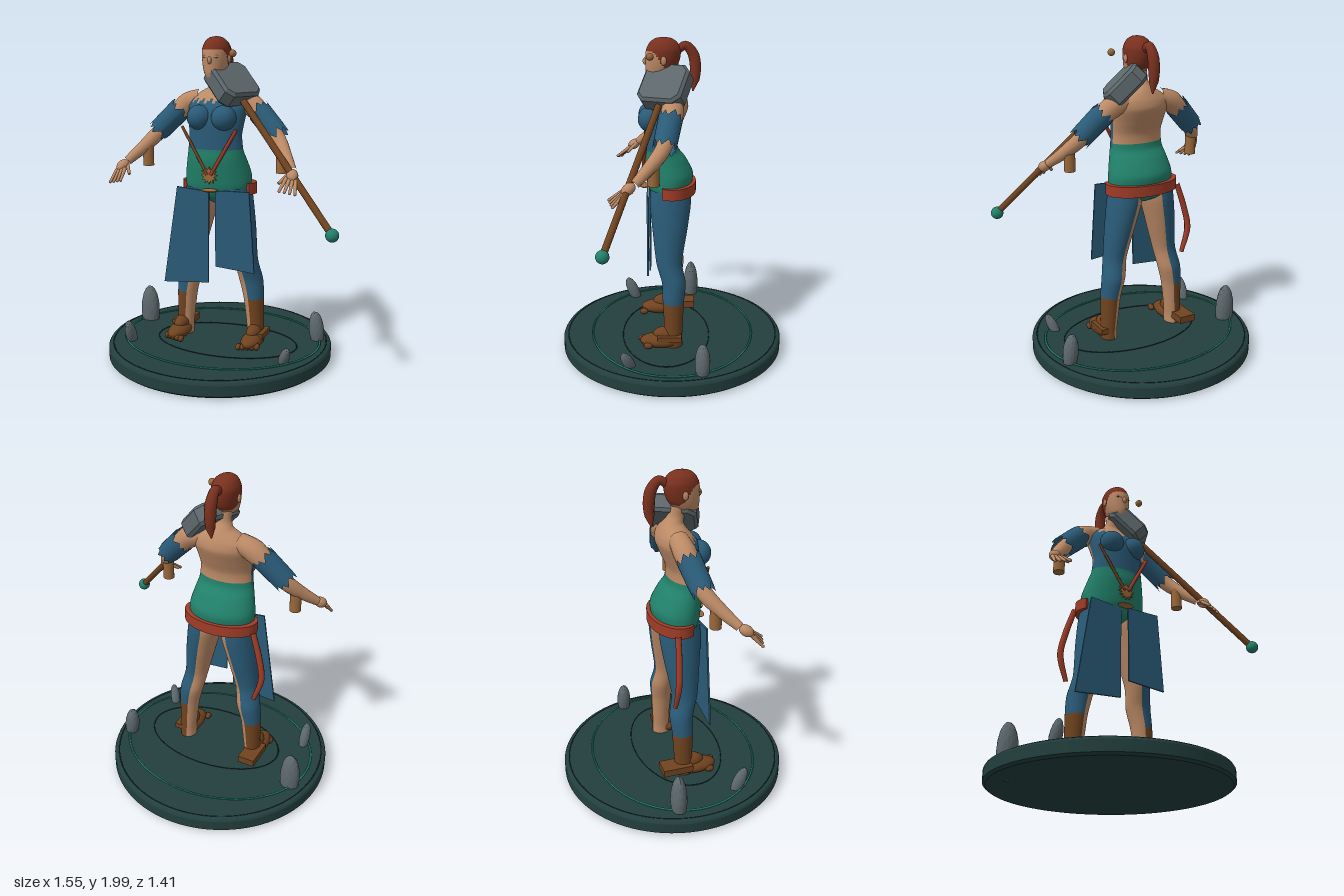
import * as THREE from 'three';

const mat = (name, color, extra = {}) => Object.assign(new THREE.MeshStandardMaterial({ color, ...extra }), { name });
const M = {
  skin: mat('skin', 0xbc8a66), blue: mat('blue cloth', 0x2a5b78, { side: THREE.DoubleSide }),
  green: mat('green cloth', 0x21806a), hair: mat('red hair', 0x7a301e), leather: mat('brown leather', 0x70431f),
  belt: mat('red belt', 0xa03c27), gold: mat('bronze', 0x99683a), stone: mat('grey stone', 0x5d686c),
  base: mat('dark green base', 0x223f3d), dark: mat('dark groove', 0x132827),
};
const V = (x, y, z) => new THREE.Vector3(x, y, z);

function add(parent, name, geo, material, x = 0, y = 0, z = 0) {
  const m = new THREE.Mesh(geo, material);
  m.name = name;
  m.position.set(x, y, z);
  parent.add(m);
  return m;
}
const ball = (parent, name, material, x, y, z, rx, ry = rx, rz = rx) => {
  const m = add(parent, name, new THREE.SphereGeometry(1, 20, 14), material, x, y, z);
  m.scale.set(rx, ry, rz);
  return m;
};

// Rod between two points
function rod(parent, name, material, a, b, r, r2 = r) {
  const m = add(parent, name, new THREE.CylinderGeometry(r2, r, a.distanceTo(b), 12), material);
  m.position.copy(a).lerp(b, 0.5);
  m.quaternion.setFromUnitVectors(V(0, 1, 0), b.clone().sub(a).normalize());
  return m;
}

// Tube whose radius follows a list of values
function limb(parent, name, material, pts, radii, seg = 30, sides = 14) {
  const curve = new THREE.CatmullRomCurve3(pts);
  const geo = new THREE.TubeGeometry(curve, seg, 1, sides);
  const p = geo.attributes.position, v = V(0, 0, 0);
  for (let i = 0; i <= seg; i++) {
    const t = i / seg, c = curve.getPointAt(t), f = t * (radii.length - 1);
    const k = Math.min(Math.floor(f), radii.length - 2), r = THREE.MathUtils.lerp(radii[k], radii[k + 1], f - k);
    for (let j = 0; j <= sides; j++) {
      const n = i * (sides + 1) + j;
      v.fromBufferAttribute(p, n).sub(c).multiplyScalar(r).add(c);
      p.setXYZ(n, v.x, v.y, v.z);
    }
  }
  return add(parent, name, geo, material);
}

// Stack of ellipses [x, y, z, rx, rz] from bottom to top; pick() chooses a material for each face
function loft(parent, name, rings, materials, pick, rows = 60, cols = 48) {
  const mid = new THREE.CatmullRomCurve3(rings.map(r => V(r[0], r[1], r[2])), false, 'catmullrom', 0.4);
  const rad = new THREE.CatmullRomCurve3(rings.map(r => V(r[3], r[4], 0)), false, 'catmullrom', 0.4);
  const pos = [], faces = materials.map(() => []);
  for (let i = 0; i <= rows; i++) {
    const c = mid.getPoint(i / rows), r = rad.getPoint(i / rows);
    for (let j = 0; j < cols; j++) {
      const a = j / cols * Math.PI * 2;
      pos.push(c.x + r.x * Math.sin(a), c.y, c.z + r.y * Math.cos(a));
    }
    if (i === rows) break;
    const m = mid.getPoint((i + 0.5) / rows);
    for (let j = 0; j < cols; j++) {
      const a = (j + 0.5) / cols * Math.PI * 2, A = i * cols + j, B = i * cols + (j + 1) % cols;
      faces[pick(a, m.y, m.z + r.y * Math.cos(a), j)].push(A, B, B + cols, A, B + cols, A + cols);
    }
  }
  const geo = new THREE.BufferGeometry();
  geo.setAttribute('position', new THREE.Float32BufferAttribute(pos, 3));
  geo.setIndex(faces.flat());
  let start = 0;
  faces.forEach((f, k) => { geo.addGroup(start, f.length, k); start += f.length; });
  geo.computeVertexNormals();
  return add(parent, name, geo, materials);
}

const plate = (pts, depth) => new THREE.ExtrudeGeometry(
  new THREE.Shape(pts.map(p => new THREE.Vector2(...p))), { depth, bevelEnabled: false });

function buildBase(root) {
  const profile = [[0, 0.012], [0.69, 0.012], [0.707, 0.025], [0.707, 0.09], [0.7, 0.102], [0.685, 0.11], [0, 0.11]];
  const flat = profile.slice(1).flatMap((p, i) => [profile[i], p]).map(p => new THREE.Vector2(...p));
  add(root, 'base', new THREE.LatheGeometry(flat, 96), M.base, -0.07);
  const ring = (name, m, x, z, rx, rz, t, y) => {
    const r = add(root, name, new THREE.TorusGeometry(1, t, 6, 96).rotateX(Math.PI / 2), m, x, y, z);
    r.scale.set(rx, 0.5, rz);
  };
  ring('greenRing', M.green, -0.06, 0, 0.632, 0.517, 0.011, 0.117);
  ring('innerGroove', M.dark, -0.01, 0.04, 0.455, 0.278, 0.01, 0.109);
  ring('outerGroove', M.dark, -0.07, 0, 0.677, 0.677, 0.005, 0.11);
  // Standing stones: position, radii, lean about x and z
  [[-0.64, 0.175, -0.145, 0.064, 0.17, 0.05, 0, 0], [0.52, 0.175, -0.17, 0.048, 0.12, 0.046, 0, 0.1],
    [-0.57, 0.16, 0.27, 0.034, 0.1, 0.04, 0.4, 0], [0.44, 0.14, 0.27, 0.032, 0.085, 0.035, 0.4, -0.35]]
    .forEach(([x, y, z, rx, ry, rz, a, b]) => {
      const g = new THREE.IcosahedronGeometry(1, 2).scale(rx, ry, rz);
      g.computeVertexNormals();
      add(root, 'stone', g, M.stone, x, y, z).rotation.set(a, 0, b);
    });
}

function buildHead(fig) {
  loft(fig, 'head', [[0, 1.735, 0.1, 0.001, 0.001], [0, 1.75, 0.1, 0.033, 0.042], [0, 1.785, 0.08, 0.058, 0.075],
    [0, 1.83, 0.063, 0.073, 0.095], [0, 1.88, 0.055, 0.08, 0.104], [0, 1.93, 0.05, 0.08, 0.102],
    [0, 1.97, 0.05, 0.063, 0.08], [0, 1.992, 0.05, 0.035, 0.047], [0, 2, 0.05, 0.001, 0.001]], [M.skin, M.hair],
  (a, y, z) => y > 1.81 + 0.11 * THREE.MathUtils.smoothstep(z, 0.02, 0.12) ? 1 : 0);
  ball(fig, 'nose', M.skin, 0, 1.86, 0.158, 0.013, 0.022, 0.016);
  for (const s of [-1, 1]) {
    ball(fig, 'ear', M.skin, s * 0.081, 1.87, 0.05, 0.01, 0.026, 0.017);
    ball(fig, 'eyelid', M.skin, s * 0.032, 1.882, 0.142, 0.016, 0.01, 0.01);
    add(fig, 'eyelash', new THREE.BoxGeometry(0.026, 0.004, 0.006), M.hair, s * 0.032, 1.877, 0.15).rotation.y = s * 0.3;
  }
  limb(fig, 'ponytail', M.hair, [V(0, 1.92, -0.03), V(0, 1.95, -0.08), V(0, 1.9, -0.125), V(0, 1.8, -0.14), V(0, 1.68, -0.125)],
    [0.022, 0.028, 0.034, 0.034, 0.028, 0.004]);
}

function buildBody(fig) {
  loft(fig, 'torso', [[0, 1, 0.01, 0.06, 0.05], [0, 1.04, 0.005, 0.17, 0.115], [0, 1.1, 0.015, 0.207, 0.135],
    [0, 1.18, 0.017, 0.208, 0.146], [0, 1.27, 0.045, 0.188, 0.128], [0, 1.33, 0.066, 0.174, 0.104],
    [0, 1.42, 0.068, 0.166, 0.102], [0, 1.5, 0.052, 0.175, 0.117], [0, 1.58, 0.025, 0.184, 0.122],
    [0, 1.63, 0.008, 0.17, 0.1], [0, 1.67, 0, 0.12, 0.075], [0, 1.7, 0.002, 0.068, 0.06],
    [0, 1.74, 0.02, 0.048, 0.048], [0, 1.8, 0.03, 0.046, 0.046]], [M.green, M.blue, M.skin], (a, y, z, j) => {
    if (y < 1.335 + (Math.cos(a) < -0.1 ? 0.035 : 0)) return 0;
    return y < 1.605 + 0.015 * (j % 3) && Math.cos(a) > -0.15 ? 1 : 2;
  }, 84, 60);
  for (const s of [-1, 1]) {
    ball(fig, 'bust', M.blue, s * 0.078, 1.525, 0.135, 0.076, 0.075, 0.07);

    // Leg: cloth and boot outside, bare inside
    loft(fig, 'leg', [[s * 0.24, 0.115, 0, 0.052, 0.062], [s * 0.24, 0.17, 0, 0.052, 0.06],
      [s * 0.235, 0.25, -0.005, 0.055, 0.058], [s * 0.225, 0.4, -0.005, 0.064, 0.066],
      [s * 0.205, 0.52, -0.008, 0.075, 0.073], [s * 0.18, 0.65, 0.02, 0.074, 0.08], [s * 0.145, 0.85, 0.015, 0.092, 0.107],
      [s * 0.116, 1, 0.012, 0.103, 0.125], [s * 0.105, 1.1, 0.01, 0.1, 0.122]], [M.leather, M.blue, M.skin],
    (a, y) => Math.sin(a) * s < -0.25 ? 2 : y < 0.4 ? 0 : 1, 64);
    ball(fig, 'boot', M.leather, s * 0.247, 0.152, 0.075, 0.066, 0.046, 0.13);
    ball(fig, 'instep', M.leather, s * 0.245, 0.19, 0.05, 0.045, 0.05, 0.075);
    for (let k = 0; k < 5; k++)
      ball(fig, 'toe', M.leather, s * (0.192 + k * 0.027), 0.137, 0.188 - k * 0.009, 0.017, 0.02, 0.028);

    // Arm and hand
    limb(fig, 'arm', M.skin, [V(s * 0.11, 1.63, 0), V(s * 0.2, 1.6, 0), V(s * 0.3, 1.51, 0.02), V(s * 0.39, 1.41, 0.06),
      V(s * 0.46, 1.325, 0.135), V(s * 0.525, 1.25, 0.215)], [0.06, 0.068, 0.056, 0.048, 0.044, 0.036, 0.027]);
    ball(fig, 'palm', M.skin, s * 0.537, 1.227, 0.25, 0.034, 0.032, 0.046).rotation.set(0.6, s * 0.3, 0);
    for (let k = 0; k < 4; k++) {
      const knuckle = V(s * (0.51 + k * 0.018), 1.215 - k * 0.004, 0.275), tip = V(s * (0.495 + k * 0.028), 1.155 - k * 0.006, 0.36 - k * 0.008);
      rod(fig, 'finger', M.skin, knuckle, tip, 0.012, 0.008);
      ball(fig, 'fingertip', M.skin, tip.x, tip.y, tip.z, 0.009);
    }
    rod(fig, 'thumb', M.skin, V(s * 0.515, 1.235, 0.235), V(s * 0.47, 1.185, 0.295), 0.013, 0.009);

    // Torn sleeve
    const from = V(s * 0.245, 1.572, 0.01), to = V(s * 0.395, 1.42, 0.05);
    const sleeve = rod(fig, 'tornSleeve', M.blue, from, to, 0.072);
    sleeve.geometry = new THREE.CylinderGeometry(0.068, 0.072, 0.2, 24, 4, true);
    const p = sleeve.geometry.attributes.position;
    for (let i = 0; i < p.count; i++) {
      const j = i % 25 % 24, y = p.getY(i);
      if (Math.abs(y) > 0.09) p.setY(i, y + 0.022 * (((j * 7) % 5) / 2 - 1));
    }
    sleeve.geometry.computeVertexNormals();
    add(fig, 'wristCuff', new THREE.CylinderGeometry(0.034, 0.034, 0.13, 20), M.gold, s * 0.432, 1.28, 0.11);
  }
}

function buildOutfit(fig) {
  add(fig, 'rightSkirtPanel', plate([[-0.32, 0.485], [-0.02, 0.51], [-0.015, 1.08], [-0.225, 1.1]], 0.01), M.blue, 0, 0, 0.135);
  add(fig, 'leftSkirtPanel', plate([[0.03, 0.62], [0.28, 0.6], [0.245, 1.095], [0.03, 1.09]], 0.01), M.blue, 0, 0, 0.145);
  // Belt wraps the back and sides
  const band = new THREE.Shape();
  band.absellipse(0, 0, 0.238, 0.148, -0.45, Math.PI + 0.45, false, 0);
  band.absellipse(0, 0, 0.2, 0.122, Math.PI + 0.45, -0.45, true, 0);
  const beltGeo = new THREE.ExtrudeGeometry(band, { depth: 0.068, bevelEnabled: false, curveSegments: 40 }).rotateX(-Math.PI / 2);
  add(fig, 'belt', beltGeo, M.belt, 0, 1.062, 0);
  limb(fig, 'beltTail', M.belt, [V(-0.235, 1.08, -0.04), V(-0.285, 0.92, -0.05), V(-0.31, 0.78, -0.06), V(-0.265, 0.62, -0.065)],
    [0.018, 0.02, 0.02, 0.014], 24, 8);
  rod(fig, 'leatherCord', M.leather, V(-0.18, 1.47, 0.155), V(-0.012, 1.19, 0.178), 0.009);
  rod(fig, 'redCord', M.belt, V(0.165, 1.46, 0.155), V(0.012, 1.19, 0.178), 0.011);
  const rays = Array.from({ length: 24 }, (_, i) => {
    const r = i % 2 ? 0.034 : 0.053, a = i / 24 * Math.PI * 2;
    return [r * Math.sin(a), r * Math.cos(a)];
  });
  add(fig, 'sunBrooch', plate(rays.reverse(), 0.012), M.gold, 0, 1.185, 0.168);
  ball(fig, 'beltClasp', M.gold, 0, 1.093, 0.17, 0.053, 0.011, 0.03);
  add(fig, 'rightFootBuckle', new THREE.BoxGeometry(0.11, 0.045, 0.19), M.leather, -0.265, 0.175, -0.06);
  add(fig, 'leftFootBuckle', new THREE.BoxGeometry(0.09, 0.035, 0.15), M.leather, 0.27, 0.18, 0.02);
}

function buildHammer(root) {
  const d = V(0.64, -0.71, 0.31).normalize(), tip = V(0.735, 0.935, 0.382), head = V(0.025, 1.72, 0.04);
  rod(root, 'hammerShaft', M.leather, head, tip, 0.02);
  ball(root, 'hammerPommel', M.green, tip.x, tip.y, tip.z, 0.038);
  // Chamfered block square to the shaft
  const l = V(-0.45, 0, 0.89).normalize(), w = d.clone().cross(l).normalize(), side = w.clone().cross(d);
  const [a, b, c] = [0.12, 0.125, 0.035];
  const outline = [[-a + c, -b], [a - c, -b], [a, -b + c], [a, b - c], [a - c, b], [-a + c, b], [-a, b - c], [-a, -b + c]];
  const geo = new THREE.ExtrudeGeometry(new THREE.Shape(outline.map(p => new THREE.Vector2(...p))),
    { depth: 0.08, bevelThickness: 0.018, bevelSize: 0.016, bevelSegments: 1 }).translate(0, 0, -0.04);
  geo.applyMatrix4(new THREE.Matrix4().makeBasis(d, side, w));
  add(root, 'hammerHead', geo, M.stone, head.x, head.y, head.z);
  ball(root, 'floatingBead', M.gold, 0.063, 1.9, 0.13, 0.022);
}

export function createModel() {
  const root = new THREE.Group();
  root.name = 'warrior';
  buildBase(root);
  const fig = new THREE.Group();
  fig.name = 'figure';
  fig.position.x = -0.07;
  root.add(fig);
  buildHead(fig);
  buildBody(fig);
  buildOutfit(fig);
  buildHammer(root);
  return root;
}
